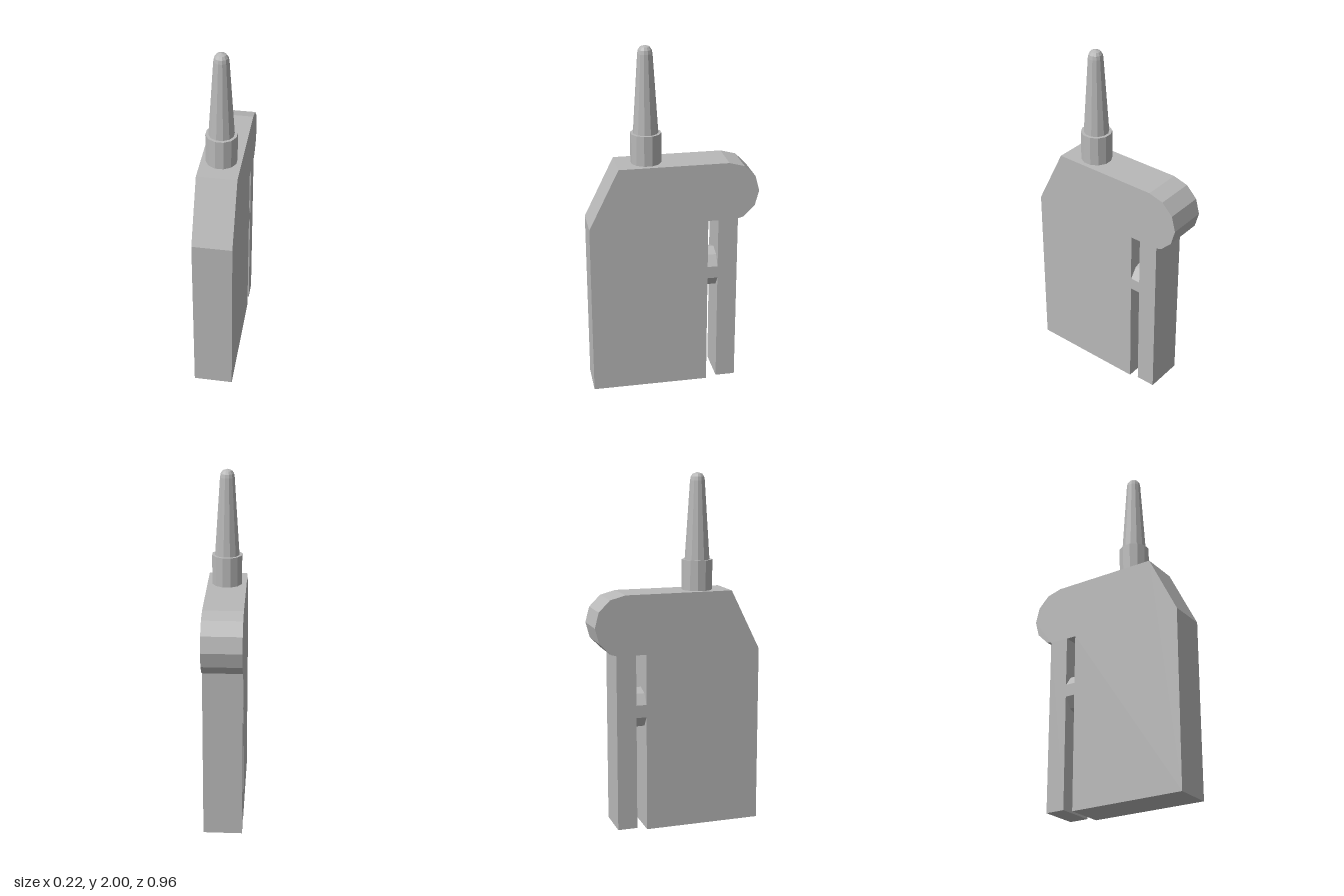
import * as THREE from 'three';

export function createModel() {
  const group = new THREE.Group();
  const grey = new THREE.MeshStandardMaterial({ color: 0xb8b8b8 });
  grey.flatShading = true;
  const WIDTH = 0.22;
  const antennaZ = 0.142;

  const add = (name, geometry, x = 0, y = 0, z = 0) => {
    const mesh = new THREE.Mesh(geometry, grey);
    mesh.name = name;
    mesh.position.set(x, y, z);
    group.add(mesh);
    return mesh;
  };

  // Side profile as (z, y): case, rounded rear hump and hanging clip in one outline
  const profile = [[0.478, 0], [0.478, 1.01], [0.31, 1.35]];
  const hump = { z: -0.305, y: 1.177, r: 0.173 };
  for (let i = 0; i <= 5; i++) {
    const a = Math.PI / 2 - (i * Math.PI) / 6;
    profile.push([hump.z - Math.cos(a) * hump.r, hump.y + Math.sin(a) * hump.r]);
  }
  profile.push(
    [-0.36, 1.018], [-0.36, 0.015], [-0.248, 0.015],
    [-0.248, 1.015], [-0.19, 1.015], [-0.19, 0]
  );
  const shape = new THREE.Shape(profile.map(([z, y]) => new THREE.Vector2(z, y)));
  const caseGeometry = new THREE.ExtrudeGeometry(shape, { depth: WIDTH, bevelEnabled: false });
  caseGeometry.rotateY(-Math.PI / 2).translate(WIDTH / 2, 0, 0);
  add('caseWithClip', caseGeometry);

  // Ten-sided stud bridging the gap between case and clip
  const stud = new THREE.CylinderGeometry(0.115, 0.115, 0.062, 10).rotateX(Math.PI / 2);
  add('clipStud', stud, 0, 0.695, -0.219);

  // Antenna collar
  const collar = new THREE.CylinderGeometry(0.086, 0.086, 0.17, 12).rotateY(Math.PI / 12);
  add('antennaCollar', collar, 0, 1.434, antennaZ);

  // Tapered antenna with a domed tip
  const outline = [[0.071, 1.5], [0.041, 1.955], [0.037, 1.975], [0.026, 1.991], [0, 2]];
  const antenna = new THREE.LatheGeometry(outline.map(([r, y]) => new THREE.Vector2(r, y)), 12);
  antenna.rotateY(Math.PI / 12);
  add('antenna', antenna, 0, 0, antennaZ);

  return group;
}
